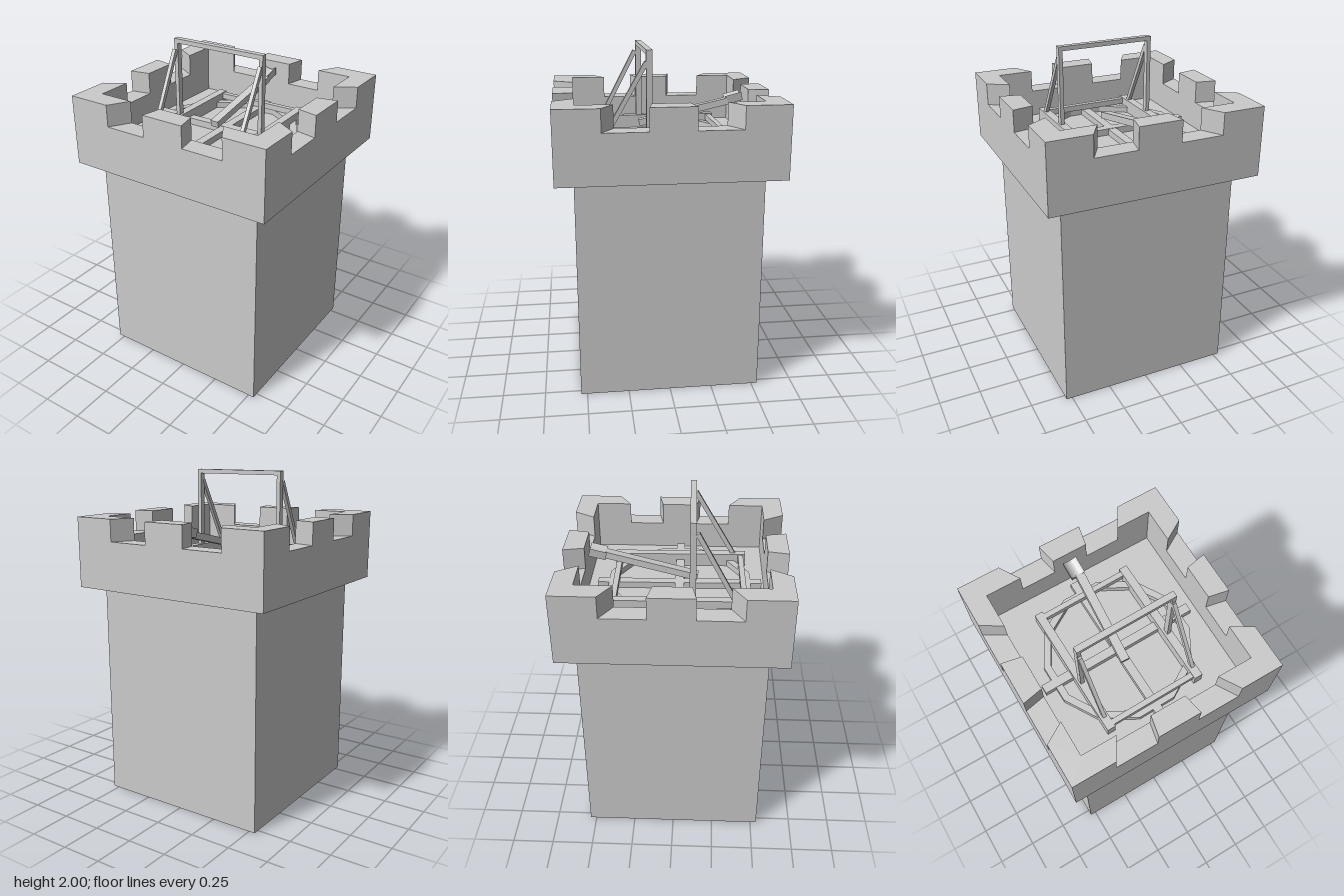
import * as THREE from 'three';

const material = new THREE.MeshStandardMaterial({ color: 0xcccccc, flatShading: true });
const BODY = 0.537, OUTER = 0.643, INNER = 0.522;
const LEDGE = 1.32, FLOOR = 1.45, SILL = 1.61, TOP = 1.74;

function add(parent, name, geometry, x = 0, y = 0, z = 0) {
  const mesh = new THREE.Mesh(geometry, material);
  mesh.name = name;
  mesh.position.set(x, y, z);
  parent.add(mesh);
  return mesh;
}

// Box given by its ranges on the three axes
function block(parent, name, x0, x1, y0, y1, z0, z1) {
  return add(parent, name, new THREE.BoxGeometry(x1 - x0, y1 - y0, z1 - z0),
    (x0 + x1) / 2, (y0 + y1) / 2, (z0 + z1) / 2);
}

// Square-section beam running between two points
function beam(parent, name, a, b, width, height) {
  const from = new THREE.Vector3(...a), to = new THREE.Vector3(...b);
  const mesh = add(parent, name, new THREE.BoxGeometry(width, height, from.distanceTo(to)));
  mesh.position.copy(from).add(to).multiplyScalar(0.5);
  mesh.lookAt(to);
  return mesh;
}

const outline = (points) => points.map(([x, y]) => new THREE.Vector2(x, y));
const square = (h) => outline([[-h, -h], [h, -h], [h, h], [-h, h]]);

// Plan shape raised upwards from y = 0
function raise(points, height, hole) {
  const shape = new THREE.Shape(points);
  if (hole) shape.holes.push(new THREE.Path(hole));
  return new THREE.ExtrudeGeometry(shape, { depth: height, bevelEnabled: false }).rotateX(-Math.PI / 2);
}

function makeTower() {
  const tower = new THREE.Group();
  tower.name = 'tower';
  block(tower, 'towerBody', -BODY, BODY, 0, LEDGE, -BODY, BODY);
  block(tower, 'platformFloor', -INNER, INNER, LEDGE, FLOOR, -INNER, INNER);
  add(tower, 'parapetWall', raise(square(OUTER), SILL - LEDGE, square(INNER)), 0, LEDGE, 0);

  // Merlons with sides splayed towards the centre of the tower
  const k = INNER / OUTER, m = 0.13, c = 0.385;
  const middle = outline([[-m, -OUTER], [m, -OUTER], [m * k, -INNER], [-m * k, -INNER]]);
  const corner = outline([[c, -OUTER], [OUTER, -OUTER], [OUTER, -c], [INNER, -c * k],
    [INNER, -INNER], [c * k, -INNER]]);
  for (let i = 0; i < 4; i++) {
    add(tower, 'middleMerlon', raise(middle, TOP - SILL), 0, SILL, 0).rotation.y = i * Math.PI / 2;
    add(tower, 'cornerMerlon', raise(corner, TOP - SILL), 0, SILL, 0).rotation.y = i * Math.PI / 2;
  }
  return tower;
}

function makeCatapult() {
  const catapult = new THREE.Group();
  catapult.name = 'catapult';
  catapult.position.set(-0.008, 0, 0.02);
  catapult.rotation.y = 0.018;
  const base = 1.49, deck = 1.53;

  // Twelve-sided turning ring and the crossed beams beneath the frame
  const ring = (r) => Array.from({ length: 12 }, (_, i) => {
    const a = (i + 0.5) * Math.PI / 6;
    return new THREE.Vector2(r * Math.cos(a), r * Math.sin(a));
  });
  add(catapult, 'turningRing', raise(ring(0.435), base - FLOOR - 0.004, ring(0.393)), 0, FLOOR, 0);
  block(catapult, 'crossBeam', -0.485, 0.485, FLOOR, base, -0.026, 0.026);
  block(catapult, 'lengthBeam', -0.026, 0.026, FLOOR, base - 0.002, -0.485, 0.485);

  // Rectangular frame
  for (const s of [-1, 1]) {
    block(catapult, 'sideRail', s * 0.285 - 0.025, s * 0.285 + 0.025, FLOOR, deck, -0.402, 0.402);
    block(catapult, 'endRail', -0.262, 0.262, base, deck - 0.005, s * 0.372 - 0.016, s * 0.372 + 0.016);
    // Upright and its sloping brace
    block(catapult, 'upright', s * 0.286 - 0.012, s * 0.286 + 0.012, deck - 0.02, 1.976, 0.06, 0.096);
    beam(catapult, 'brace', [s * 0.286, 1.925, 0.082], [s * 0.286, 1.52, 0.345], 0.022, 0.026);
  }
  block(catapult, 'topBar', -0.298, 0.298, 1.974, 2, 0.06, 0.096);

  // Throwing arm rising towards the back, with its shallow cup
  beam(catapult, 'throwingArm', [0, 1.527, 0.105], [0, 1.662, -0.435], 0.052, 0.04);
  const cup = new THREE.Shape();
  cup.moveTo(-0.042, 0.03);
  cup.lineTo(-0.036, -0.022);
  cup.lineTo(0.036, -0.022);
  cup.lineTo(0.042, 0.03);
  cup.quadraticCurveTo(0, -0.012, -0.042, 0.03);
  const cupGeometry = new THREE.ExtrudeGeometry(cup, { depth: 0.1, bevelEnabled: false, curveSegments: 8 });
  cupGeometry.translate(0, 0, -0.1).rotateX(Math.atan2(0.135, 0.54));
  add(catapult, 'throwingCup', cupGeometry, 0, 1.66, -0.428);
  return catapult;
}

export function createModel() {
  const model = new THREE.Group();
  model.name = 'catapultTower';
  model.add(makeTower(), makeCatapult());
  return model;
}
